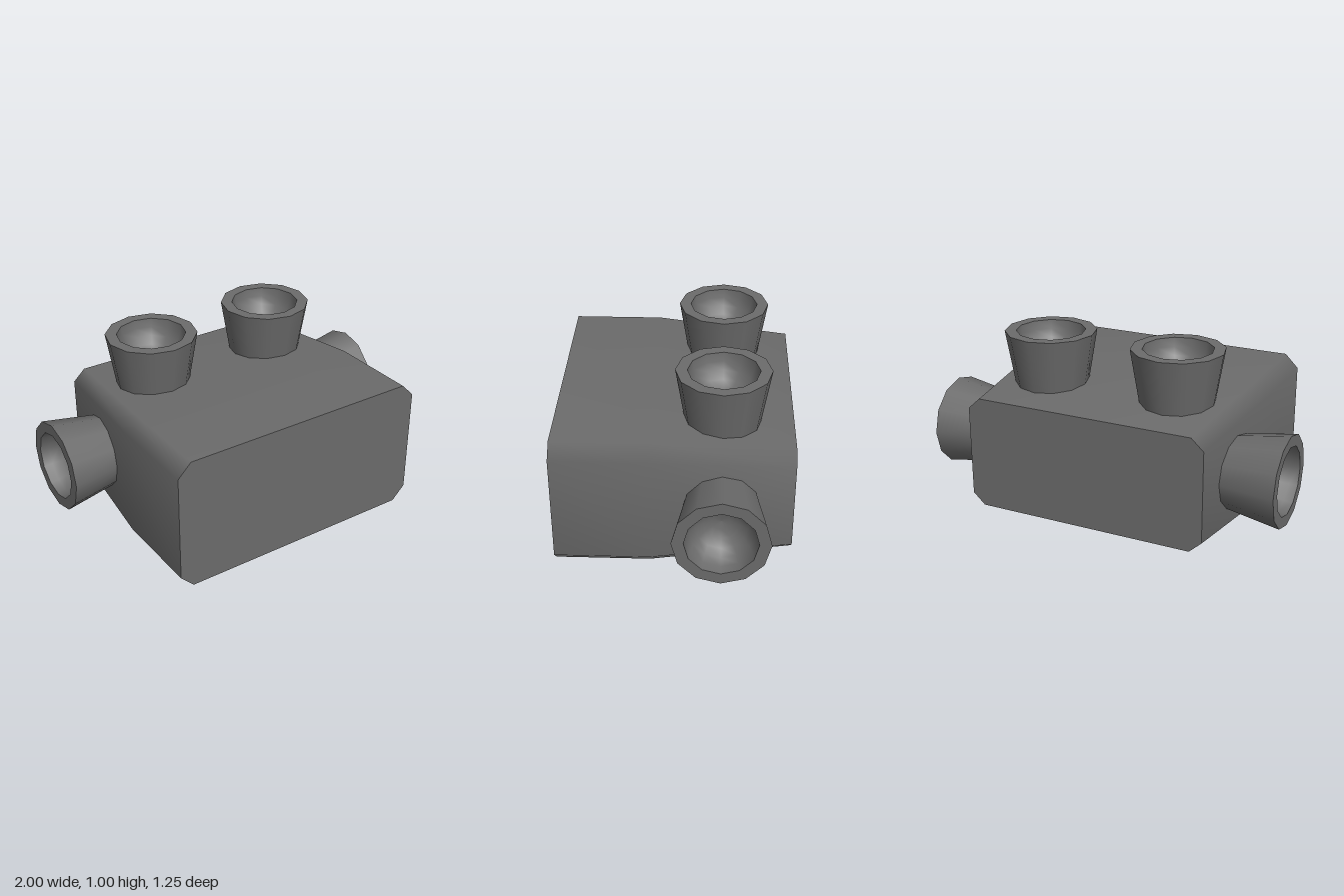
import * as THREE from 'three';
import { mergeGeometries } from 'three/addons/utils/BufferGeometryUtils.js';

const MID_Y = 0.375;
const SECTION_COUNT = 8;

// Chamfered rectangle, counter-clockwise as seen from +z
function section(sx, sy) {
  const w = 0.75, h = 0.375, c = 0.075;
  return [
    [w, -h + c], [w, h - c], [w - c, h], [-w + c, h],
    [-w, h - c], [-w, -h + c], [-w + c, -h], [w - c, -h],
  ].map(([x, y]) => new THREE.Vector2(x * sx, y * sy));
}

// Smooth-shaded shell lofted from back to front
function shellGeometry() {
  const rings = [[-0.625, 0.905, 0.833], [0.125, 1, 1], [0.625, 1, 1]];
  const positions = [], index = [];
  rings.forEach(([z, sx, sy], r) => {
    for (const p of section(sx, sy)) positions.push(p.x, p.y, z);
    if (r === 0) return;
    for (let i = 0; i < SECTION_COUNT; i++) {
      const j = (i + 1) % SECTION_COUNT;
      const a = (r - 1) * SECTION_COUNT, b = r * SECTION_COUNT;
      index.push(a + i, a + j, b + j, a + i, b + j, b + i);
    }
  });
  const g = new THREE.BufferGeometry();
  g.setAttribute('position', new THREE.Float32BufferAttribute(positions, 3));
  g.setIndex(index);
  g.computeVertexNormals();
  return g;
}

// Flared twelve-sided socket along +y, base at 0, mouth at 0.375
function socketGeometry() {
  const lathe = (pts) =>
    new THREE.LatheGeometry(pts.map(([x, y]) => new THREE.Vector2(x, y)), 12);
  const top = 0.375, inner = 0.1875;
  const bowl = [];
  for (let i = 0; i <= 6; i++) {
    const a = (i / 6) * Math.PI / 2;
    bowl.push([inner * Math.cos(a), top - inner * Math.sin(a)]);
  }
  return mergeGeometries([
    lathe([[0.1875, 0], [0.25, top]]), // outer wall
    lathe([[0.25, top], [inner, top]]), // flat rim
    lathe(bowl), // hollow
  ]);
}

export function createModel() {
  const model = new THREE.Group();
  model.name = 'socketBlock';
  const grey = new THREE.MeshStandardMaterial({ color: 0x6b6b6b });
  grey.name = 'darkGrey';

  const add = (name, geometry, x, y, z) => {
    const mesh = new THREE.Mesh(geometry, grey);
    mesh.name = name;
    mesh.position.set(x, y, z);
    model.add(mesh);
    return mesh;
  };

  // Body with flat ends
  add('bodyShell', shellGeometry(), 0, MID_Y, 0);
  add('frontFace', new THREE.ShapeGeometry(new THREE.Shape(section(1, 1))), 0, MID_Y, 0.625);
  const back = new THREE.ShapeGeometry(new THREE.Shape(section(0.905, 0.833)));
  add('backFace', back, 0, MID_Y, -0.625).rotation.y = Math.PI;

  // Two sockets on top, one on each side
  const socket = socketGeometry();
  for (const [side, s] of [['left', 1], ['right', -1]]) {
    add(side + 'TopSocket', socket, s * 0.375, 0.625, -0.25);
    add(side + 'SideSocket', socket, s * 0.625, MID_Y, -0.25).rotation.z = -s * Math.PI / 2;
  }
  return model;
}
